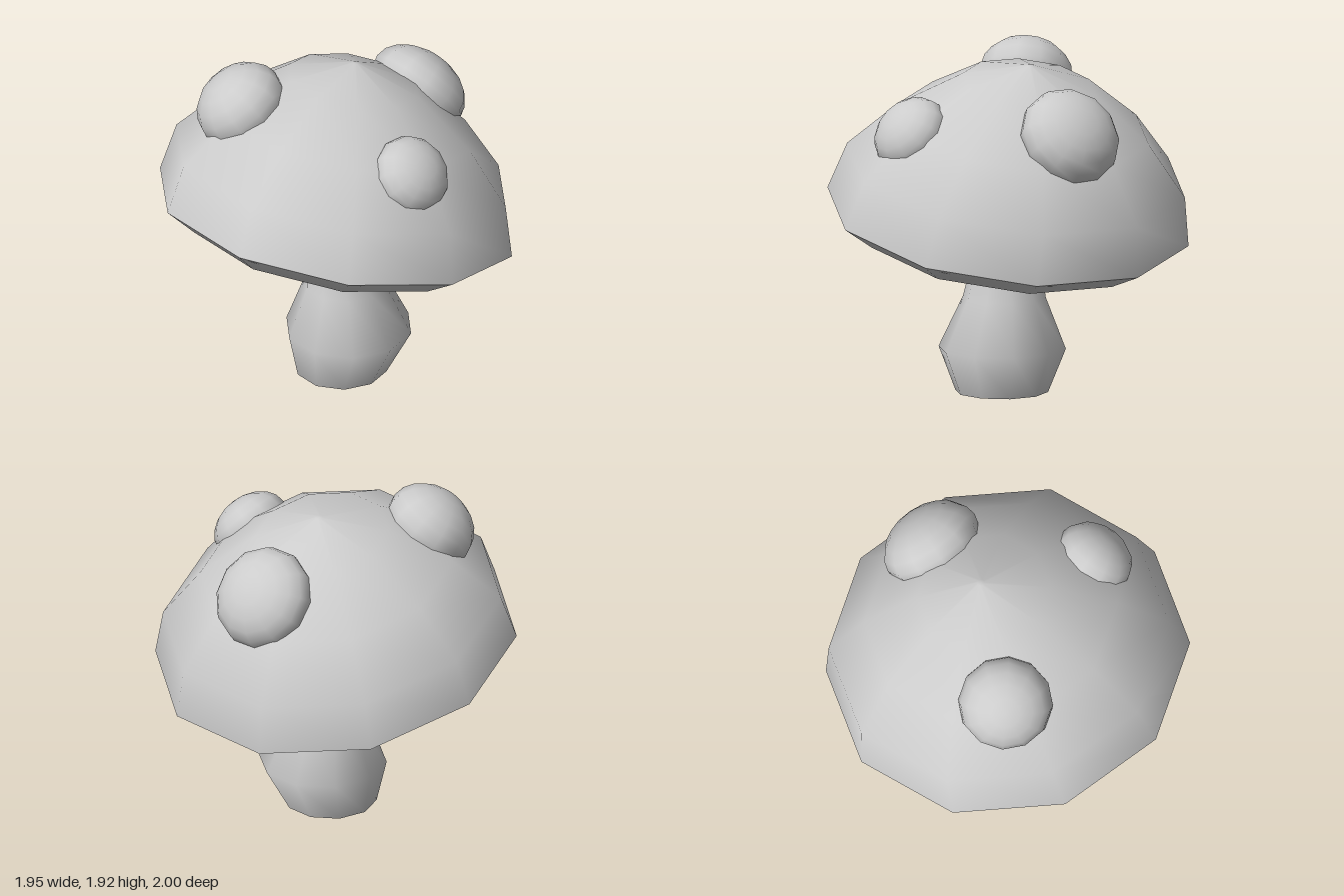
import * as THREE from 'three';

const SIDES = 10;
const material = new THREE.MeshStandardMaterial({ color: 0xcccccc, side: THREE.DoubleSide });
const up = new THREE.Vector3(0, 1, 0);

function addMesh(parent, name, geometry) {
  const mesh = new THREE.Mesh(geometry, material);
  mesh.name = name;
  parent.add(mesh);
  return mesh;
}

// Turned shape from rings [radius, height, centreX, centreZ]
function turned(rings) {
  const geometry = new THREE.LatheGeometry(rings.map(([r, y]) => new THREE.Vector2(r, y)), SIDES);
  const position = geometry.attributes.position;
  for (let i = 0; i < position.count; i++) {
    const [, , cx = 0, cz = 0] = rings[i % rings.length];
    position.setX(i, position.getX(i) + cx);
    position.setZ(i, position.getZ(i) + cz);
  }
  return geometry;
}

export function createModel() {
  const model = new THREE.Group();
  model.name = 'mushroom';

  // Stem: bulging foot, open below, and a leaning neck that runs into the cap
  addMesh(model, 'stem', turned([
    [0.26, 0, 0.04, 0.01], [0.357, 0.255, 0.07, -0.022], [0.232, 0.54, 0.05, -0.02],
    [0.17, 0.85, 0.005, 0], [0.13, 1.12, -0.02, 0],
  ]));

  // Cap: tilted dome with a bevelled underside and a shallow hollow round the stem
  const cap = new THREE.Group();
  cap.name = 'cap';
  cap.position.set(0, 0.982, 0);
  cap.quaternion.setFromUnitVectors(up, new THREE.Vector3(0.062, 1, -0.2175).normalize());
  cap.rotateY(-0.015);
  model.add(cap);
  addMesh(cap, 'capDome', turned([
    [1.023, 0], [0.957, 0.275, -0.02], [0.713, 0.55, -0.03], [0.376, 0.79, -0.04],
    [0.02, 0.9, -0.04], [0, 0.9, -0.04],
  ]));
  addMesh(cap, 'capUnderside', turned([[0.47, -0.13], [0.84, -0.12], [1.023, 0]]));
  addMesh(cap, 'capHollow', turned([[0, 0.05], [0.47, -0.13]]));

  // Spots: flattened balls lying on the dome [centre, outward direction, radius, thickness]
  const spots = [
    [[-0.445, 1.685, 0.285], [-0.5, 0.8, 0.33], 0.265, 0.215],
    [[0.602, 1.51, 0.175], [0.72, 0.66, 0.15], 0.225, 0.165],
    [[0.155, 1.53, -0.62], [0.2, 0.6, -0.77], 0.29, 0.2],
  ];
  spots.forEach(([centre, direction, radius, thickness], i) => {
    const spot = addMesh(model, `spot${i + 1}`, new THREE.SphereGeometry(1, 12, 10));
    spot.position.set(...centre);
    spot.quaternion.setFromUnitVectors(up, new THREE.Vector3(...direction).normalize());
    spot.scale.set(radius, thickness, radius);
  });

  return model;
}
